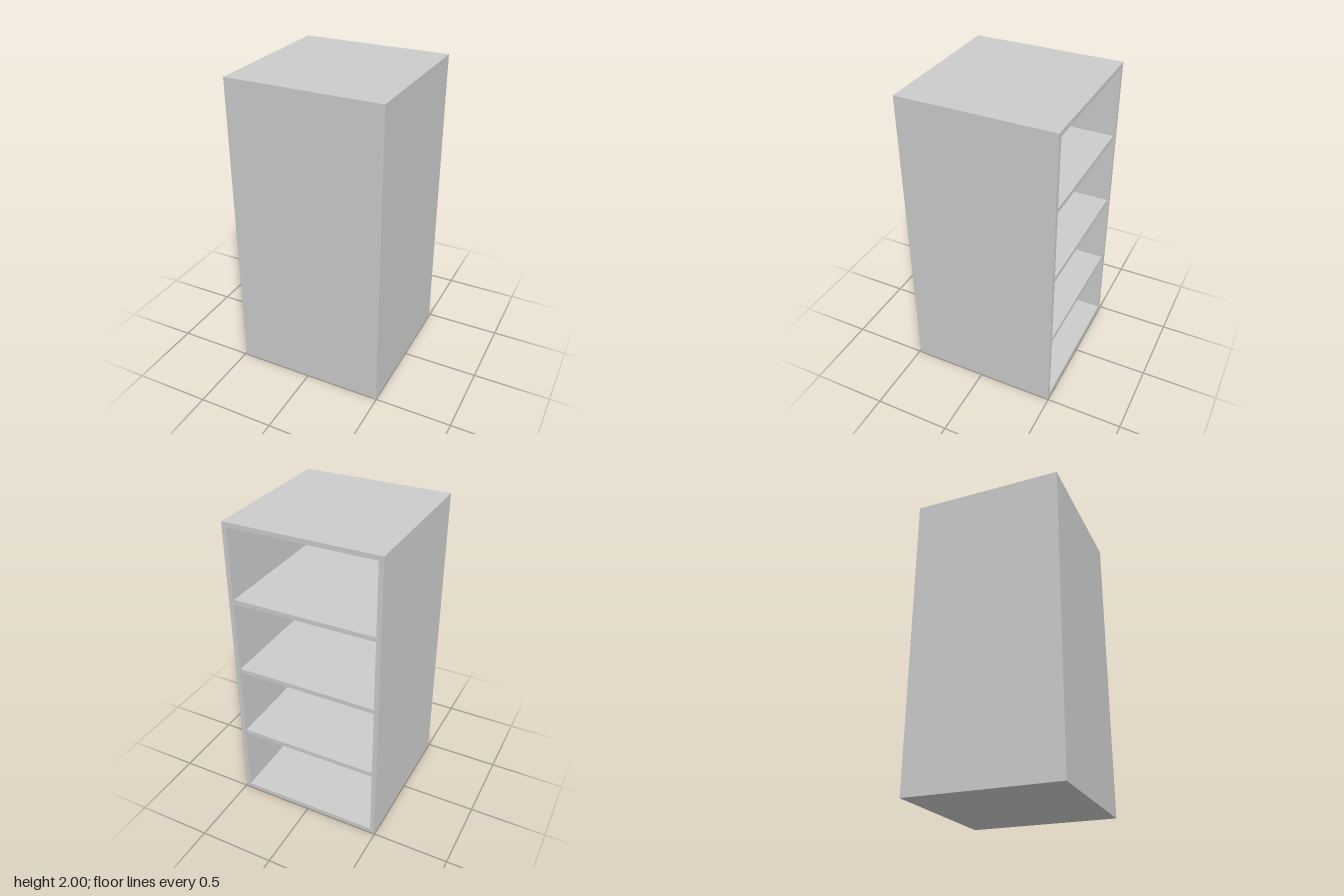
import * as THREE from 'three';

const W = 0.99, H = 2, D = 0.99; // outer size
const T = 0.03;                  // panel thickness
const INSET = 0.01;              // shelves sit just behind the open edge

export function createModel() {
  const group = new THREE.Group();
  group.name = 'shelfCabinet';
  const material = new THREE.MeshStandardMaterial({ color: 0xcccccc });

  const addPanel = (name, size, position) => {
    const mesh = new THREE.Mesh(new THREE.BoxGeometry(...size), material);
    mesh.name = name;
    mesh.position.set(...position);
    group.add(mesh);
  };

  // Carcass: a square tube of four panels plus a closed front; the back is open
  const shape = new THREE.Shape();
  shape.moveTo(-W / 2, 0).lineTo(W / 2, 0).lineTo(W / 2, H).lineTo(-W / 2, H).closePath();
  const hole = new THREE.Path();
  hole.moveTo(-W / 2 + T, T).lineTo(-W / 2 + T, H - T).lineTo(W / 2 - T, H - T).lineTo(W / 2 - T, T).closePath();
  shape.holes.push(hole);
  const carcass = new THREE.Mesh(
    new THREE.ExtrudeGeometry(shape, { depth: D, bevelEnabled: false }), material);
  carcass.name = 'carcass';
  carcass.position.z = -D / 2;
  group.add(carcass);

  addPanel('frontPanel', [W - 2 * T, H - 2 * T, T], [0, H / 2, D / 2 - T / 2]);

  // Three evenly spaced shelves
  const depth = D - T - INSET;
  for (let i = 1; i <= 3; i++) {
    addPanel(`shelf${i}`, [W - 2 * T, T, depth], [0, 0.497 * i, (INSET - T) / 2]);
  }
  return group;
}
